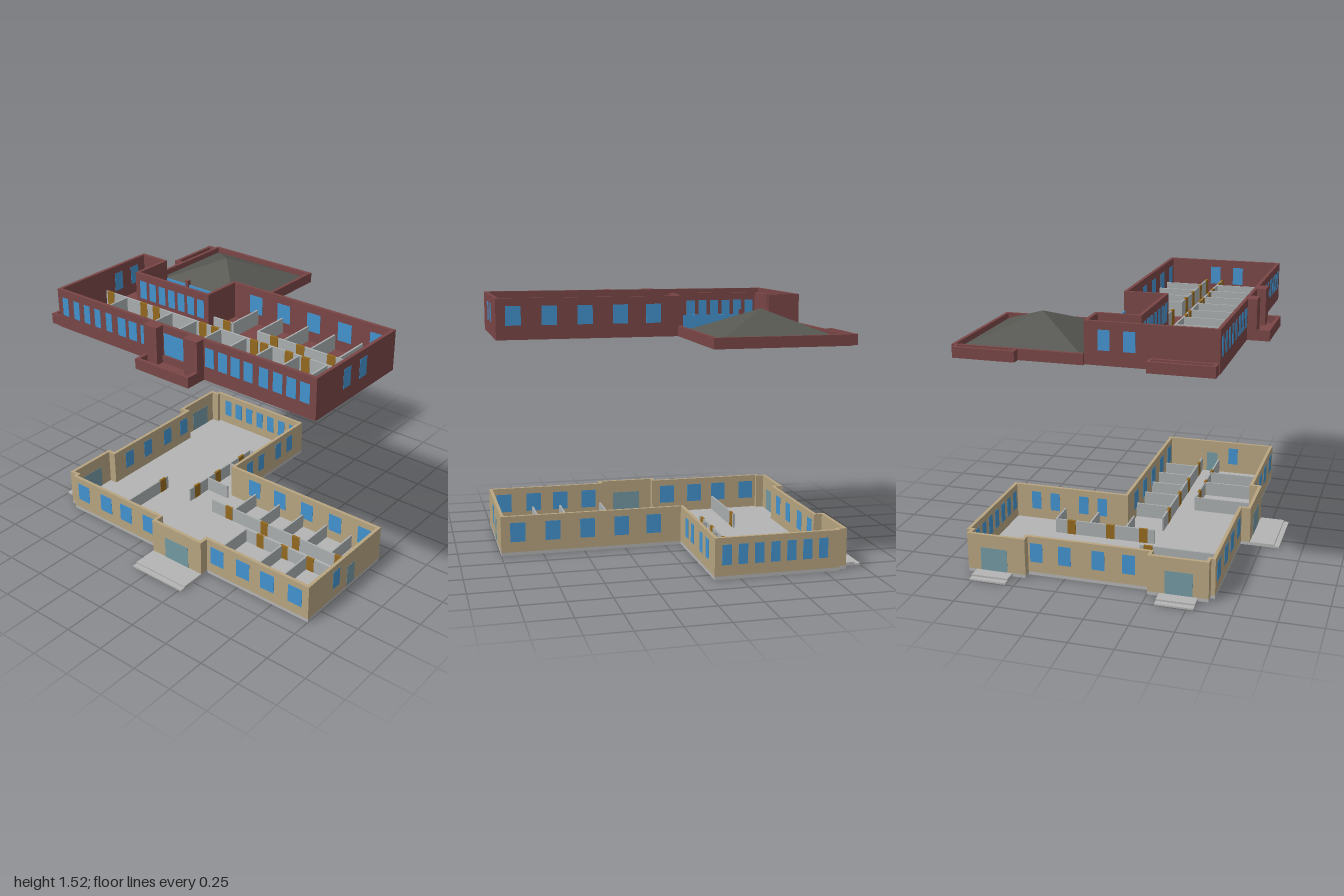
import * as THREE from 'three';

const material = (name, color) => {
  const m = new THREE.MeshStandardMaterial({ color });
  m.name = name;
  return m;
};

export function createModel() {
  const tan = material('tan wall', 0xb7a480);
  const red = material('red brick', 0x7a4646);
  const blue = material('window blue', 0x4393cf);
  const glass = material('door glass', 0x7499a3);
  const grey = material('concrete', 0xb4b4b4);
  const pale = material('partition grey', 0xaaaeae);
  const brown = material('door brown', 0x94691f);
  const slate = material('roof slate', 0x565751);
  const T = 0.02; // outer wall thickness

  const model = new THREE.Group();
  model.name = 'explodedBuilding';
  const level = (name) => {
    const g = new THREE.Group();
    g.name = name;
    model.add(g);
    return g;
  };
  const lower = level('groundFloor');
  const upper = level('upperFloor');

  const box = (g, name, mat, x0, x1, y0, y1, z0, z1) => {
    const m = new THREE.Mesh(new THREE.BoxGeometry(x1 - x0, y1 - y0, z1 - z0), mat);
    m.position.set((x0 + x1) / 2, (y0 + y1) / 2, (z0 + z1) / 2);
    m.name = name;
    g.add(m);
  };

  // Wall along x or z, from a to b, centred on line c
  const wall = (g, name, mat, axis, a, b, c, y0, y1, t = T) =>
    axis === 'x'
      ? box(g, name, mat, a, b, y0, y1, c - t / 2, c + t / 2)
      : box(g, name, mat, c - t / 2, c + t / 2, y0, y1, a, b);

  // Thin panes on both faces of a wall, one pair per centre position
  const panes = (g, name, mat, axis, centres, width, c, y0, y1) => {
    for (const p of centres)
      for (const side of [-1, 1])
        wall(g, name, mat, axis, p - width / 2, p + width / 2, c + side * T / 2, y0, y1, 0.003);
  };

  // Low interior partition with full-height doors
  const partition = (g, axis, a, b, c, y, doors = []) => {
    wall(g, 'partition', pale, axis, a, b, c, y, y + 0.09, 0.011);
    for (const d of doors) wall(g, 'interiorDoor', brown, axis, d - 0.027, d + 0.027, c, y, y + 0.0905, 0.015);
  };

  // ---------- Ground floor ----------
  const F = 0.02, H = 0.24;
  box(lower, 'mainSlab', grey, -0.84, 1, 0, F, -0.11, 0.625);
  box(lower, 'wingSlab', grey, -0.84, -0.1, 0, F, -0.845, -0.11);
  box(lower, 'porchSlab', grey, -0.11, 0.27, 0, F, 0.625, 0.68);
  box(lower, 'frontStepUpper', grey, -0.11, 0.27, 0, F, 0.68, 0.83);
  box(lower, 'frontStepLower', grey, -0.11, 0.27, 0, 0.01, 0.83, 0.86);

  const lw = (axis, a, b, c) => wall(lower, 'outerWall', tan, axis, a, b, c, F, H);
  const lwin = (axis, centres, width, c) => panes(lower, 'window', blue, axis, centres, width, c, 0.083, 0.2);
  lw('x', -0.84, -0.09, 0.615);
  lw('x', 0.25, 1, 0.615);
  lwin('x', [-0.75, -0.553, -0.383, -0.193, 0.347, 0.537, 0.713, 0.907], 0.096, 0.615);
  lw('z', -0.11, 0.605, 0.99);
  lwin('z', [0.352], 0.066, 0.99);
  panes(lower, 'sideDoor', glass, 'z', [0.203], 0.076, 0.99, F, 0.157);
  lw('x', -0.12, 0.98, -0.1);
  lwin('x', [0.07, 0.27, 0.48, 0.69, 0.9], 0.09, -0.1);
  lw('z', -0.845, -0.11, -0.11);
  lwin('z', [-0.257, -0.38, -0.57, -0.695], 0.062, -0.11);
  lw('x', -0.84, -0.12, -0.835);
  lwin('x', [-0.17, -0.265, -0.36, -0.455, -0.55, -0.645, -0.74], 0.055, -0.835);
  lw('z', -0.47, 0.25, -0.83);
  lwin('z', [0.13, -0.05, -0.25, -0.42], 0.075, -0.83);
  lw('z', -0.825, -0.8, -0.83);
  lw('z', 0.58, 0.605, -0.83);

  // Front porch
  lw('x', -0.11, 0.27, 0.67);
  lw('z', 0.605, 0.66, -0.1);
  lw('z', 0.605, 0.66, 0.26);
  panes(lower, 'frontDoor', glass, 'x', [0.08], 0.18, 0.67, F, 0.16);

  // Left side porches with steps
  for (const [z0, z1, door] of [[0.25, 0.6, 0.43], [-0.82, -0.47, -0.66]]) {
    box(lower, 'sidePorchSlab', grey, -0.89, -0.84, 0, F, z0, z1);
    lw('z', z0, z1, -0.88);
    lw('x', -0.87, -0.82, z0 + 0.01);
    lw('x', -0.87, -0.82, z1 - 0.01);
    panes(lower, 'sidePorchDoor', glass, 'z', [door], 0.16, -0.88, F, 0.16);
    box(lower, 'sideStepUpper', grey, -0.965, -0.89, 0, F, door - 0.11, door + 0.11);
    box(lower, 'sideStepLower', grey, -1, -0.965, 0, 0.01, door - 0.11, door + 0.11);
  }

  // Ground floor rooms
  partition(lower, 'x', 0.27, 0.98, 0.25, F, [0.38, 0.56, 0.75]);
  partition(lower, 'x', -0.1, 0.98, 0.13, F, [0.04, 0.32, 0.56, 0.87]);
  for (const x of [0.08, 0.27, 0.45, 0.63, 0.81]) partition(lower, 'z', -0.09, 0.13, x, F);
  for (const x of [0.27, 0.54, 0.72]) partition(lower, 'z', 0.25, 0.605, x, F);
  partition(lower, 'z', -0.5, 0.13, -0.29, F, [-0.4, -0.15, 0.06]);
  for (const z of [-0.5, -0.28, -0.05]) partition(lower, 'x', -0.29, -0.12, z, F);
  partition(lower, 'z', 0.1, 0.6, -0.51, F, [0.15]);

  // ---------- Upper floor ----------
  const B = 1.285, U = 1.305, P = 1.347, R = 1.525;
  box(upper, 'mainFloor', red, -0.84, 1, B, U, -0.11, 0.625);
  box(upper, 'wingFloor', red, -0.86, -0.08, B, U, -0.865, -0.11);

  // Parapet round the wing
  const parapet = (axis, a, b, c) => wall(upper, 'parapet', red, axis, a, b, c, B, P);
  parapet('x', -0.86, -0.08, -0.855);
  parapet('z', -0.845, -0.11, -0.09);
  parapet('z', -0.845, -0.11, -0.85);

  // Canopies
  const canopyRim = (x0, x1, z0, z1) => {
    box(upper, 'canopyFloor', red, x0, x1, B, U, z0, z1);
    parapet('x', x0, x1, z0 + 0.01);
    parapet('x', x0, x1, z1 - 0.01);
    parapet('z', z0 + T, z1 - T, x0 + 0.01);
    parapet('z', z0 + T, z1 - T, x1 - 0.01);
  };
  canopyRim(-0.912, -0.84, 0.25, 0.62);
  canopyRim(-0.912, -0.84, -0.84, -0.48);
  canopyRim(-0.11, 0.27, 0.615, 0.757);

  // Hipped roof on the wing
  const roof = new THREE.Mesh(
    new THREE.ConeGeometry(0.37 * Math.SQRT2, 0.157, 4, 1).rotateY(Math.PI / 4).toNonIndexed(), slate);
  roof.geometry.computeVertexNormals();
  roof.position.set(-0.47, 1.3915, -0.478);
  roof.name = 'hippedRoof';
  upper.add(roof);

  // Outer walls and windows
  const uw = (axis, a, b, c) => wall(upper, 'outerWall', red, axis, a, b, c, U, R);
  const uwin = (axis, centres, width, c) => panes(upper, 'window', blue, axis, centres, width, c, 1.368, 1.48);
  uw('x', -0.84, 1, 0.615);
  uwin('x', [-0.78, -0.69, -0.605, -0.52, -0.43], 0.046, 0.615);
  uwin('x', [-0.33, -0.245, -0.155, 0.31, 0.4, 0.485, 0.57, 0.67, 0.76, 0.845, 0.93], 0.06, 0.615);
  panes(upper, 'entranceWindow', blue, 'x', [0.08], 0.184, 0.615, 1.35, 1.48);
  box(upper, 'entrancePier', red, -0.11, -0.018, U, R, 0.62, 0.68);
  box(upper, 'entrancePier', red, 0.175, 0.27, U, R, 0.62, 0.68);
  uw('z', -0.11, 0.605, 0.99);
  uwin('z', [0.202, 0.352], 0.066, 0.99);
  uw('z', -0.11, 0.605, -0.83);
  uwin('z', [0.0, 0.14], 0.066, -0.83);
  uw('x', -0.11, 0.98, -0.1);
  uwin('x', [0.07, 0.27, 0.48, 0.69, 0.9], 0.09, -0.1);
  uw('x', -0.82, -0.645, -0.1);

  // Terrace with glass rail
  box(upper, 'terraceFloor', grey, -0.645, -0.1, U, U + 0.005, -0.1, 0.14);
  uw('x', -0.66, -0.09, 0.145);
  uwin('x', [-0.6, -0.525, -0.45, -0.375, -0.3, -0.225, -0.15], 0.052, 0.145);
  uw('z', -0.09, 0.135, -0.65);
  uw('z', -0.09, 0.135, -0.1);
  wall(upper, 'glassRail', blue, 'x', -0.64, -0.11, -0.103, U, 1.41, 0.008);
  box(upper, 'railPost', red, -0.48, -0.46, U, 1.44, -0.115, -0.093);

  // Upper rooms
  partition(upper, 'x', -0.06, 0.075, 0.143, U, [0.04]);
  partition(upper, 'x', 0.26, 0.98, 0.143, U, [0.38, 0.56, 0.765, 0.95]);
  partition(upper, 'x', -0.82, 0.98, 0.248, U,
    [-0.78, -0.51, -0.41, -0.05, 0.04, 0.32, 0.39, 0.56, 0.67, 0.87, 0.95]);
  for (const x of [0.08, 0.262, 0.443, 0.625, 0.808]) partition(upper, 'z', -0.09, 0.143, x, U);
  for (const x of [-0.65, -0.288, -0.105, 0.08, 0.262, 0.443, 0.625, 0.808])
    partition(upper, 'z', 0.25, 0.605, x, U);

  return model;
}
